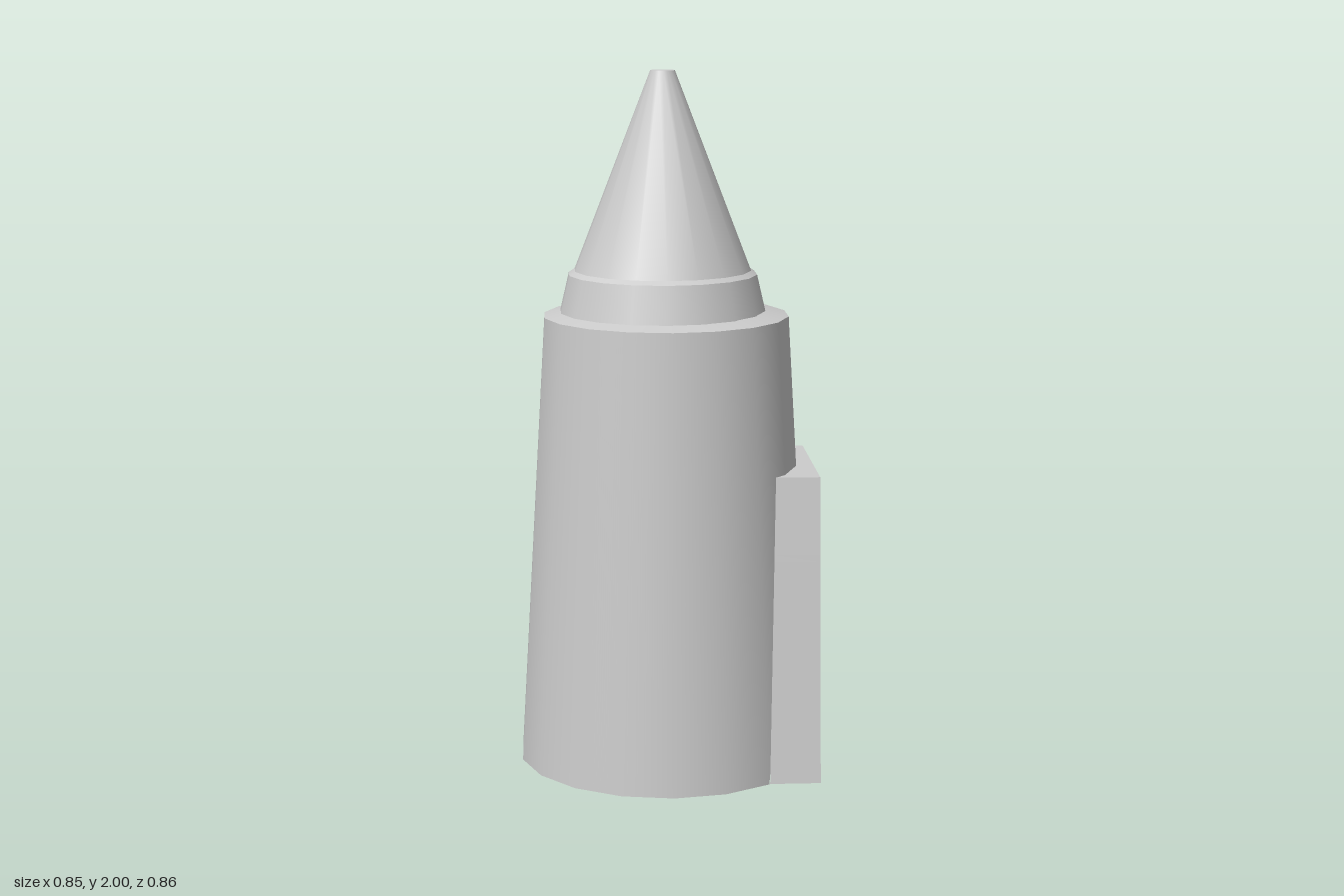
import * as THREE from 'three';

const SIDES = 18, STEP = (Math.PI * 2) / SIDES;
const BODY_TOP = 1.305, DOOR_TOP = 0.87;
const R0 = 0.43, TAPER = 0.059;      // hull radius at the foot, shrink per unit height
const H0 = 0.324, SLOPE = 0.117;     // door half width at the foot, shrink per unit height
const radius = (y) => R0 - TAPER * y;
const halfWidth = (y) => H0 - SLOPE * y;

// angle: outward direction, shift: sideways offset, outer: distance of the frame's outer edge
const doors = [
  { name: 'sideHatch', angle: Math.PI / 2, shift: -0.002, outer: 0.424 },
  { name: 'rearHatch', angle: Math.PI, shift: 0.011, outer: 0.431 },
];

const material = new THREE.MeshStandardMaterial({ color: 0xcccccc, side: THREE.DoubleSide });

// Strip of quads through pairs of points
function strip(pairs, normals) {
  const index = [];
  for (let i = 0; i < pairs.length - 1; i++) {
    const a = 2 * i;
    index.push(a, a + 2, a + 1, a + 1, a + 2, a + 3);
  }
  const geo = new THREE.BufferGeometry();
  geo.setAttribute('position', new THREE.Float32BufferAttribute(pairs.flat(2), 3));
  geo.setIndex(index);
  if (normals) geo.setAttribute('normal', new THREE.Float32BufferAttribute(normals.flat(), 3));
  else geo.computeVertexNormals();
  return geo;
}

function add(parent, name, geo) {
  const mesh = new THREE.Mesh(geo, material);
  mesh.name = name;
  parent.add(mesh);
  return mesh;
}

// Lowest point of the hull wall at an angle: the doors cut it away from below
function wallFoot(theta, reach) {
  let foot = 0;
  for (const d of doors) {
    const rel = theta - d.angle;
    if (Math.cos(rel) <= 0.2) continue;
    let y = DOOR_TOP;
    for (const s of [-1, 1]) {
      const q = s * reach * Math.sin(rel);
      y = Math.min(y, (H0 + s * d.shift - R0 * q) / (SLOPE - TAPER * q));
    }
    foot = Math.max(foot, y);
  }
  return foot;
}

// Tapered many-sided hull
function hull() {
  const pairs = [], normals = [], sub = 20;
  for (let i = 0; i <= SIDES * sub; i++) {
    const theta = (i / sub) * STEP;
    const off = ((i % sub) / sub - 0.5) * STEP;
    const reach = Math.cos(STEP / 2) / Math.cos(off);
    const at = (y) => [Math.sin(theta) * radius(y) * reach, y, Math.cos(theta) * radius(y) * reach];
    pairs.push([at(wallFoot(theta, reach)), at(BODY_TOP)]);
    const n = new THREE.Vector3(Math.sin(theta), TAPER, Math.cos(theta)).normalize().toArray();
    normals.push(n, n);
  }
  return strip(pairs, normals);
}

// Door frame point from sideways, height and outward distances
function place(d, side, y, out) {
  const s = Math.sin(d.angle), c = Math.cos(d.angle);
  return [s * out + c * side, y, c * out - s * side];
}

// Outward distance at which a door frame meets the hull
function hullDepth(d, side, y) {
  let depth = Infinity;
  for (let k = 0; k < SIDES; k++) {
    const phi = (k + 0.5) * STEP - d.angle;
    if (Math.cos(phi) < 0.1) continue;
    depth = Math.min(depth, (radius(y) * Math.cos(STEP / 2) - side * Math.sin(phi)) / Math.cos(phi));
  }
  return depth;
}

function hatchFrame(d, other) {
  const group = new THREE.Group();
  group.name = d.name;
  // Two leaning side panels, trimmed where the neighbouring frame crosses
  for (const s of [-1, 1]) {
    const pairs = [];
    for (let i = 0; i <= 40; i++) {
      const y = (DOOR_TOP * i) / 40;
      const side = d.shift + s * halfWidth(y);
      let inner = hullDepth(d, side, y);
      // does this panel lean toward the other opening?
      const toward = s * Math.sin(other.angle - d.angle) > 0;
      if (toward) inner = Math.max(inner, halfWidth(y) - s * other.shift);
      pairs.push([place(d, side, y, inner), place(d, side, y, d.outer)]);
    }
    add(group, s < 0 ? 'firstSidePanel' : 'secondSidePanel', strip(pairs));
  }
  // Flat lintel
  const top = [];
  for (let i = 0; i <= 40; i++) {
    const side = d.shift + halfWidth(DOOR_TOP) * (i / 20 - 1);
    top.push([place(d, side, DOOR_TOP, hullDepth(d, side, DOOR_TOP)), place(d, side, DOOR_TOP, d.outer)]);
  }
  add(group, 'lintel', strip(top));
  return group;
}

export function createModel() {
  const model = new THREE.Group();
  model.name = 'rocketCapsule';

  add(model, 'hull', hull());
  doors.forEach((d, i) => model.add(hatchFrame(d, doors[1 - i])));

  const ring = (parent, name, r1, y1, r2, y2) =>
    add(parent, name, new THREE.LatheGeometry([new THREE.Vector2(r1, y1), new THREE.Vector2(r2, y2)], SIDES));

  ring(model, 'shoulder', radius(BODY_TOP), BODY_TOP, 0.285, 1.322);

  // Nose section sits slightly off the hull axis
  const nose = new THREE.Group();
  nose.name = 'nose';
  nose.position.set(-0.01, 0, 0.009);
  ring(nose, 'collar', 0.296, 1.318, 0.271, 1.425);
  ring(nose, 'collarLip', 0.271, 1.425, 0.254, 1.436);
  ring(nose, 'noseCone', 0.254, 1.436, 0.035, 2);
  ring(nose, 'noseTip', 0.035, 2, 0, 2);
  model.add(nose);
  return model;
}
